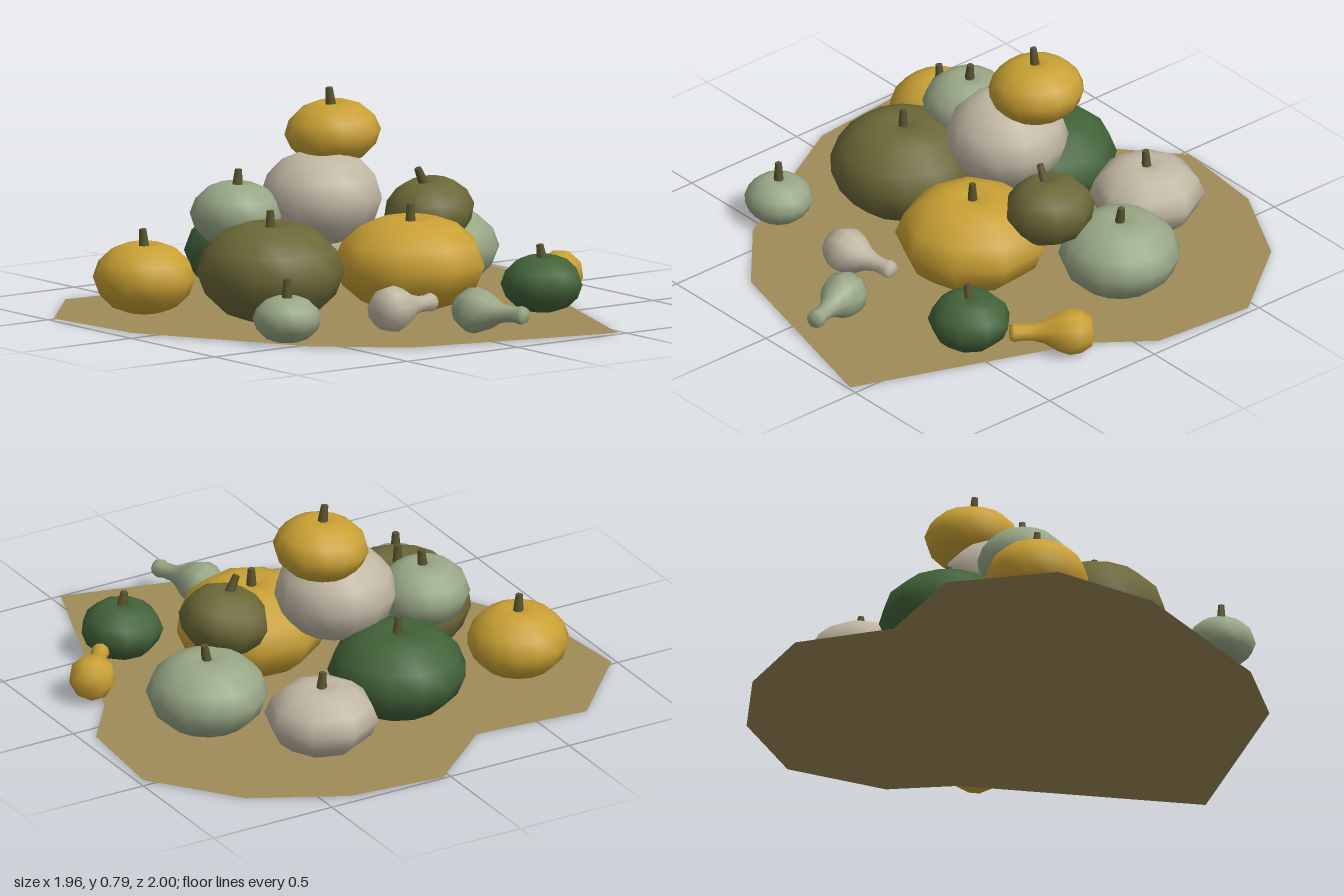
import * as THREE from 'three';

const mat = (name, color, side = THREE.FrontSide) => {
  const m = new THREE.MeshStandardMaterial({ color, side });
  m.name = name;
  return m;
};

// Squashed, dimpled cross-section of unit radius and unit half-height
const PUMPKIN = [[0, -0.86], [0.34, -1], [0.63, -0.84], [0.88, -0.48], [1, 0],
  [0.89, 0.47], [0.64, 0.83], [0.36, 1], [0.12, 0.95], [0, 0.86]];
// Gourd from the blunt end to the tip of the neck
const GOURD = [[0, 0], [0.055, 0.004], [0.08, 0.045], [0.086, 0.085], [0.07, 0.13],
  [0.042, 0.175], [0.031, 0.215], [0.029, 0.255], [0.035, 0.28], [0.028, 0.297], [0, 0.3]];
const lathe = (pts, sides) =>
  new THREE.LatheGeometry(pts.map(([r, y]) => new THREE.Vector2(r, y)), sides);

export function createModel() {
  const root = new THREE.Group();
  root.name = 'pumpkinPile';
  const straw = mat('straw', 0xa08c59, THREE.DoubleSide);
  const gold = mat('gold', 0xc9a033);
  const cream = mat('cream', 0xc0b6a3);
  const sage = mat('sage', 0x98a786);
  const olive = mat('olive', 0x6c6838);
  const green = mat('deepGreen', 0x416238);
  const stemMat = mat('stem', 0x5a5530);

  // Irregular flat ground patch
  const outline = [[0.03, -1], [0.4, -0.96], [0.735, -0.785], [0.98, -0.465], [0.945, -0.07],
    [0.785, 0.14], [0.465, 0.995], [-0.33, 0.79], [-0.6, 0.55], [-0.715, 0.34],
    [-0.94, -0.07], [-0.98, -0.49], [-0.695, -0.795], [-0.255, -0.755]];
  const groundGeo = new THREE.ShapeGeometry(
    new THREE.Shape(outline.map(([x, z]) => new THREE.Vector2(x, -z))));
  groundGeo.rotateX(-Math.PI / 2);
  const ground = new THREE.Mesh(groundGeo, straw);
  ground.name = 'groundPatch';
  ground.position.y = 0.004;
  root.add(ground);

  // Pumpkin body with a leaning tapered stem
  const pumpkin = (name, material, x, z, r, y0, y1, sides, stemTop, lean = 0.08, tilt = 0) => {
    const g = new THREE.Group();
    g.name = name;
    const h = (y1 - y0) / 2;
    const body = new THREE.Mesh(lathe(PUMPKIN, sides), material);
    body.name = 'body';
    body.scale.set(r, h, r);
    body.rotation.y = 0.3 + x * 2;
    const len = stemTop - y1 + h * 0.16;
    const stemGeo = new THREE.CylinderGeometry(0.013, 0.02, len, 6);
    stemGeo.translate(0, len / 2, 0);
    const stem = new THREE.Mesh(stemGeo, stemMat);
    stem.name = 'stem';
    stem.position.y = h * 0.84;
    stem.rotation.z = lean;
    g.add(body, stem);
    g.position.set(x, (y0 + y1) / 2, z);
    g.rotation.z = tilt;
    root.add(g);
  };

  // Bottom layer
  pumpkin('largeOlivePumpkin', olive, -0.38, 0.02, 0.27, 0.01, 0.36, 14, 0.41, 0);
  pumpkin('largeGoldPumpkin', gold, 0.16, 0.15, 0.282, 0.012, 0.345, 9, 0.395, 0);
  pumpkin('largeGreenPumpkin', green, -0.11, -0.435, 0.255, 0.01, 0.33, 13, 0.38);
  pumpkin('backCreamPumpkin', cream, 0.29, -0.57, 0.21, 0.01, 0.26, 8, 0.31);
  pumpkin('rightSagePumpkin', sage, 0.56, -0.21, 0.223, 0.01, 0.29, 15, 0.34, -0.15);
  pumpkin('leftGoldPumpkin', gold, -0.648, -0.385, 0.188, 0.01, 0.26, 14, 0.315, 0.08);
  pumpkin('smallGreenPumpkin', green, 0.518, 0.47, 0.152, 0.01, 0.21, 9, 0.255, 0.2);
  pumpkin('smallSagePumpkin', sage, -0.608, 0.42, 0.126, 0.006, 0.17, 14, 0.235, 0);

  // Stacked layers
  pumpkin('stackedSagePumpkin', sage, -0.33, -0.25, 0.17, 0.24, 0.47, 14, 0.52, -0.05, -0.04);
  pumpkin('stackedCreamPumpkin', cream, -0.012, -0.16, 0.225, 0.235, 0.56, 14, 0.57, 0);
  pumpkin('stackedOlivePumpkin', olive, 0.38, -0.028, 0.168, 0.2, 0.44, 9, 0.495, 0.25, 0.2);
  pumpkin('topGoldPumpkin', gold, 0.085, -0.218, 0.176, 0.51, 0.73, 14, 0.785, 0.05, 0.08);

  // Gourds lying on their sides, from blunt end to neck end
  const gourd = (name, material, x0, z0, x1, z1) => {
    const dir = new THREE.Vector3(x1 - x0, 0, z1 - z0);
    const m = new THREE.Mesh(lathe(GOURD, 9), material);
    m.name = name;
    m.scale.y = dir.length() / 0.3;
    m.position.set(x0, 0.086, z0);
    m.quaternion.setFromUnitVectors(new THREE.Vector3(0, 1, 0), dir.normalize());
    root.add(m);
  };
  gourd('creamGourd', cream, -0.243, 0.482, 0.05, 0.435);
  gourd('sageGourd', sage, 0.035, 0.605, 0.13, 0.885);
  gourd('goldGourd', gold, 0.84, 0.155, 0.65, 0.395);

  return root;
}
